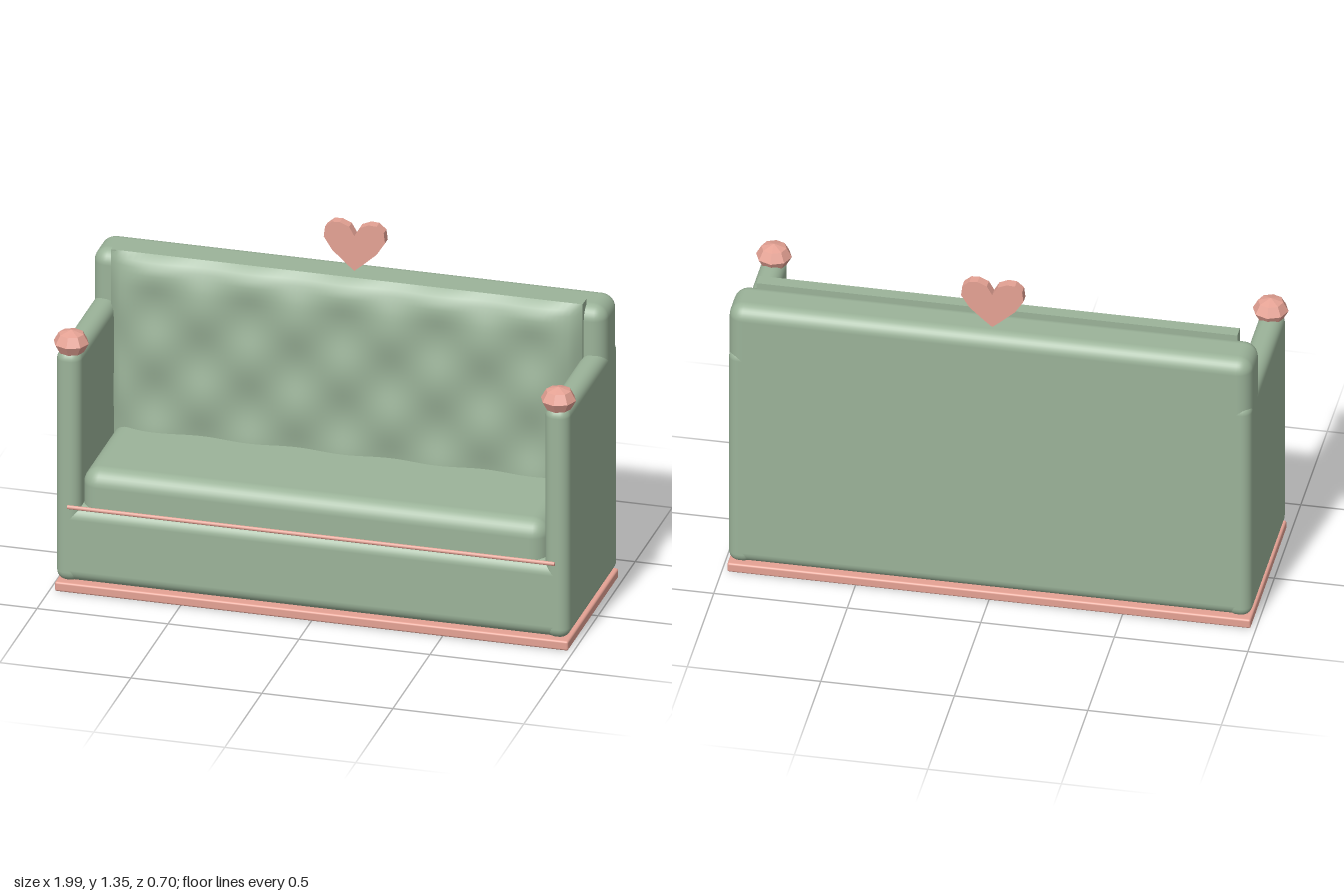
import * as THREE from 'three';
import { RoundedBoxGeometry } from 'three/addons/geometries/RoundedBoxGeometry.js';

export function createModel() {
  const model = new THREE.Group();
  model.name = 'sofa';
  const fabric = new THREE.MeshStandardMaterial({ color: 0x9bb399 });
  const trim = new THREE.MeshStandardMaterial({ color: 0xe5a294 });
  const trimFlat = new THREE.MeshStandardMaterial({ color: 0xe5a294, flatShading: true });

  const add = (name, geometry, material) => {
    const mesh = new THREE.Mesh(geometry, material);
    mesh.name = name;
    model.add(mesh);
    return mesh;
  };
  // Rounded box given by its limits on each axis
  const block = (name, [x0, x1], [y0, y1], [z0, z1], radius, material = fabric) =>
    add(name, new RoundedBoxGeometry(x1 - x0, y1 - y0, z1 - z0, 4, radius), material)
      .position.set((x0 + x1) / 2, (y0 + y1) / 2, (z0 + z1) / 2);

  // Plinth, body, back and seat
  block('plinth', [-0.98, 0.98], [0, 0.038], [-0.35, 0.335], 0.008, trim);
  block('seatBase', [-0.98, 0.98], [0.04, 0.345], [-0.35, 0.335], 0.05);
  block('backrest', [-0.98, 0.98], [0.04, 1.16], [-0.35, -0.16], 0.055);
  block('seatCushion', [-0.888, 0.888], [0.28, 0.49], [-0.2, 0.315], 0.065);

  // Arms with faceted knobs on the front corners
  for (const [side, s] of [['left', 1], ['right', -1]]) {
    block(side + 'Arm', s > 0 ? [0.885, 0.98] : [-0.98, -0.885], [0.04, 0.97], [-0.35, 0.335], 0.04);
    const knob = add(side + 'ArmKnob', new THREE.SphereGeometry(0.067, 8, 4), trimFlat);
    knob.scale.y = 0.75;
    knob.position.set(s * 0.93, 0.99, 0.285);
  }

  // Tufted panel: thin slab plus a domed, dimpled front
  const slab = add('tuftedPanelBacking', new THREE.BoxGeometry(1.8, 0.82, 0.05), fabric);
  slab.position.set(0, 0.77, -0.17);
  const W = 1.8, H = 0.82;
  const tufts = new THREE.PlaneGeometry(W, H, 80, 36);
  const p = tufts.attributes.position;
  const dome = (distance, reach) => {
    const t = 1 - Math.min(1, distance / reach);
    return Math.sqrt(1 - t * t * 0.96) ;
  };
  for (let i = 0; i < p.count; i++) {
    const x = p.getX(i), y = p.getY(i);
    const edgeX = W / 2 - Math.abs(x), edgeY = H / 2 - Math.abs(y);
    const rise = (dome(edgeX, 0.15) - 0.2) / 0.8 * (dome(edgeY, 0.12) - 0.2) / 0.8;
    const wave = Math.cos(x * Math.PI / 0.18) * Math.sin((y + 0.05) * Math.PI / 0.18);
    p.setZ(i, rise * (0.053 + 0.012 * wave));
  }
  tufts.computeVertexNormals();
  add('tuftedPanel', tufts, fabric).position.set(0, 0.77, -0.145);

  // Piping along the front of the seat
  const piping = add('seatPiping', new THREE.CylinderGeometry(0.008, 0.008, 1.86, 8), trim);
  piping.rotation.z = Math.PI / 2;
  piping.position.set(0, 0.347, 0.337);

  // Heart ornament on top of the back
  const half = [[0.03, 1.185], [0.085, 1.235], [0.117, 1.285], [0.112, 1.325],
    [0.085, 1.348], [0.055, 1.35], [0.02, 1.335]];
  const outline = [[0, 1.16], ...half, [0, 1.3], ...half.map(([x, y]) => [-x, y]).reverse()];
  const heartShape = new THREE.Shape(outline.map(([x, y]) => new THREE.Vector2(x, y)));
  add('heartOrnament', new THREE.ExtrudeGeometry(heartShape, { depth: 0.038, bevelEnabled: false }), trimFlat)
    .position.z = -0.284;

  return model;
}
